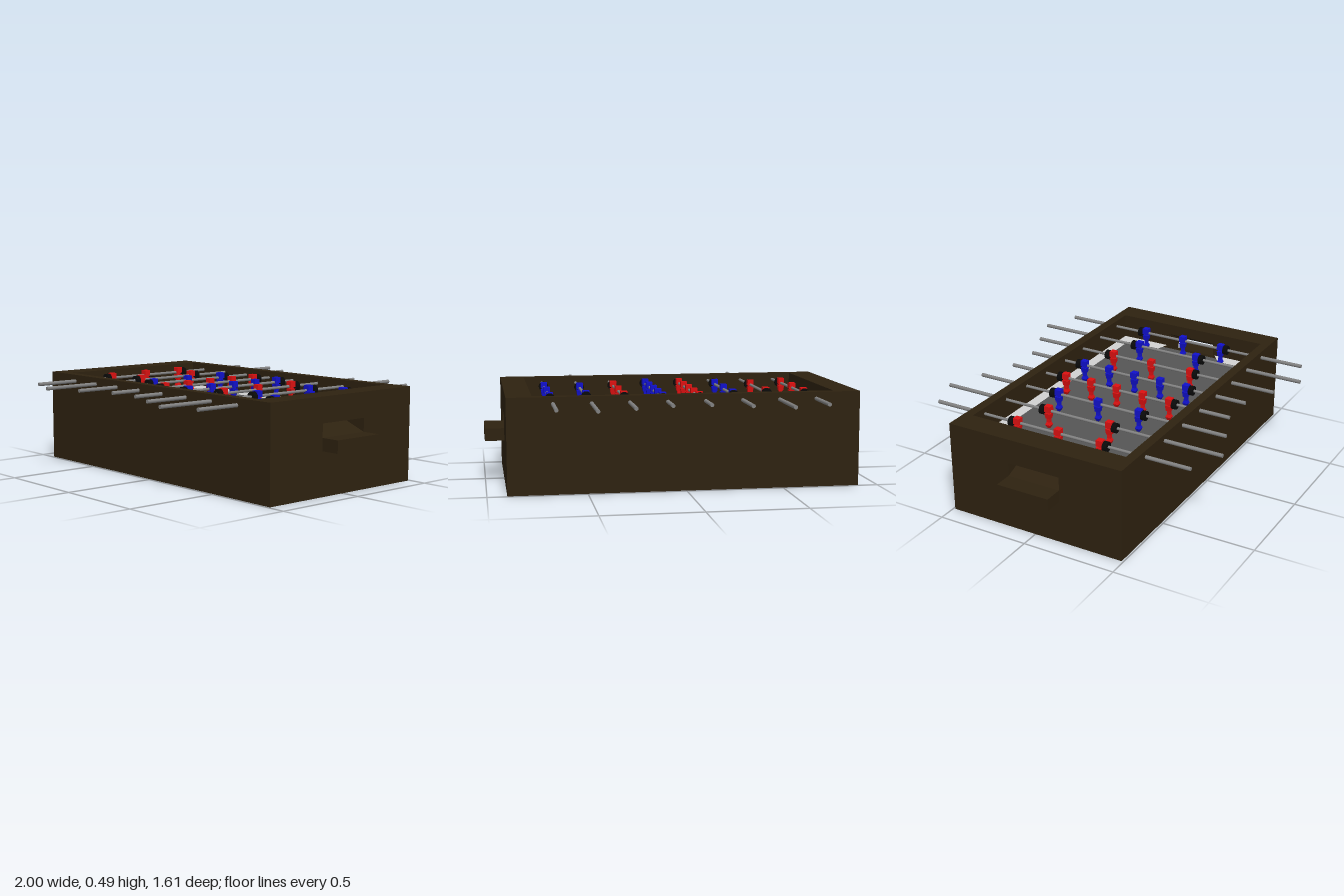
import * as THREE from 'three';

const mat = (color, extra = {}) => new THREE.MeshStandardMaterial({ color, ...extra });

export function createModel() {
  const root = new THREE.Group();
  const wood = mat(0x2e2210), steel = mat(0x808080), black = mat(0x0a0a0a);
  const red = mat(0xdd1111), blue = mat(0x1111cc);
  const fieldMat = mat(0x555555), rampMat = mat(0xcccccc, { side: THREE.DoubleSide });

  const add = (parent, name, geometry, material, x = 0, y = 0, z = 0) => {
    const mesh = new THREE.Mesh(geometry, material);
    mesh.name = name;
    mesh.position.set(x, y, z);
    parent.add(mesh);
    return mesh;
  };
  const box = (parent, name, material, w, h, d, x, y, z) =>
    add(parent, name, new THREE.BoxGeometry(w, h, d), material, x, y, z);

  // Cabinet: open frame with a goal chute through each end
  const H = 0.49, goalHalf = 0.145;
  const prism = (points) => {
    const shape = new THREE.Shape(points.map(([x, y]) => new THREE.Vector2(x, y)));
    return new THREE.ExtrudeGeometry(shape, { depth: goalHalf * 2, bevelEnabled: false })
      .translate(0, 0, -goalHalf);
  };
  for (const s of [1, -1])
    box(root, 'sideWall', wood, 1.8, H, 0.05, 0, H / 2, s * 0.465);
  for (const turn of [0, Math.PI]) {
    const end = new THREE.Group();
    end.name = 'endWall';
    end.rotation.y = turn;
    for (const s of [1, -1])
      box(end, 'endPanel', wood, 0.13, H, 0.44 - goalHalf, 0.835, H / 2, s * (0.44 + goalHalf) / 2);
    add(end, 'chuteAndBallTray', prism([[0.77, 0], [0.9, 0], [0.9, 0.225], [1, 0.225],
      [1, 0.29], [0.9, 0.29], [0.77, 0.34]]), wood);
    add(end, 'goalLintel', prism([[0.77, 0.43], [0.9, 0.36], [0.9, H], [0.77, H]]), wood);
    root.add(end);
  }

  // Playing field
  const fieldY = 0.34, rampY = 0.357;
  box(root, 'field', fieldMat, 1.54, 0.01, 0.88, 0, fieldY - 0.005, 0);

  // Sloping ramps along the sides and in the corners
  const quad = (a, b, c, d) => {
    const g = new THREE.BufferGeometry();
    g.setAttribute('position', new THREE.Float32BufferAttribute([...a, ...b, ...c, ...d], 3));
    g.setIndex([0, 1, 2, 0, 2, 3]);
    g.computeVertexNormals();
    return g;
  };
  const low = fieldY + 0.001;
  for (const turn of [0, Math.PI]) {
    const ramps = new THREE.Group();
    ramps.name = 'ramps';
    ramps.rotation.y = turn;
    add(ramps, 'sideRamp', quad([-0.73, low, 0.4], [-0.77, rampY, 0.44],
      [0.77, rampY, 0.44], [0.73, low, 0.4]), rampMat);
    for (const s of [1, -1]) {
      const p = [[0.73, low, s * 0.4], [0.77, rampY, s * 0.44],
        [0.77, rampY, s * 0.155], [0.73, low, s * 0.195]];
      add(ramps, 'endRamp', quad(...(s > 0 ? p : p.reverse())), rampMat);
    }
    root.add(ramps);
  }

  // Player figure: square head, tapering body and flared foot
  const block = (top, bottom, height) =>
    new THREE.CylinderGeometry(top * Math.SQRT1_2, bottom * Math.SQRT1_2, height, 4)
      .rotateY(Math.PI / 4).toNonIndexed();
  const figureParts = [
    ['head', block(0.034, 0.034, 0.032), 0.012],
    ['neck', block(0.02, 0.02, 0.008), -0.008],
    ['torso', block(0.034, 0.026, 0.03), -0.027],
    ['legs', block(0.018, 0.018, 0.025), -0.052],
    ['footTop', block(0.018, 0.03, 0.015), -0.071],
    ['footTip', block(0.03, 0.014, 0.018), -0.0875],
  ];
  for (const [, g] of figureParts) g.computeVertexNormals();

  // Rods with sleeves, bumpers and figures: x, half length, team, figure positions
  const three = [-0.24, 0, 0.24], two = [-0.18, 0.18];
  const five = [-0.314, -0.157, 0, 0.157, 0.314];
  const rods = [
    [-0.669, 0.73, red, three], [-0.478, 0.803, red, two],
    [-0.287, 0.73, blue, three], [-0.096, 0.657, red, five],
    [0.096, 0.657, blue, five], [0.287, 0.73, red, three],
    [0.478, 0.803, blue, two], [0.669, 0.73, blue, three],
  ];
  const cylinder = (r, length) => new THREE.CylinderGeometry(r, r, length, 16).rotateX(Math.PI / 2);
  for (const [x, half, team, places] of rods) {
    const rod = new THREE.Group();
    rod.name = 'playerRod';
    rod.position.set(x, 0.455, 0);
    add(rod, 'rod', cylinder(0.0075, half * 2 - 0.01), steel);
    const last = places[places.length - 1];
    for (const s of [1, -1]) {
      add(rod, 'sleeve', cylinder(0.01, half - 0.44), steel, 0, 0, s * (half + 0.44) / 2);
      add(rod, 'bumper', cylinder(0.026, 0.024), black, 0, 0, s * (last + 0.033));
    }
    for (const z of places) {
      const figure = new THREE.Group();
      figure.name = 'playerFigure';
      figure.position.z = z;
      for (const [name, g, y] of figureParts) add(figure, name, g, team, 0, y, 0);
      rod.add(figure);
    }
    root.add(rod);
  }
  return root;
}
